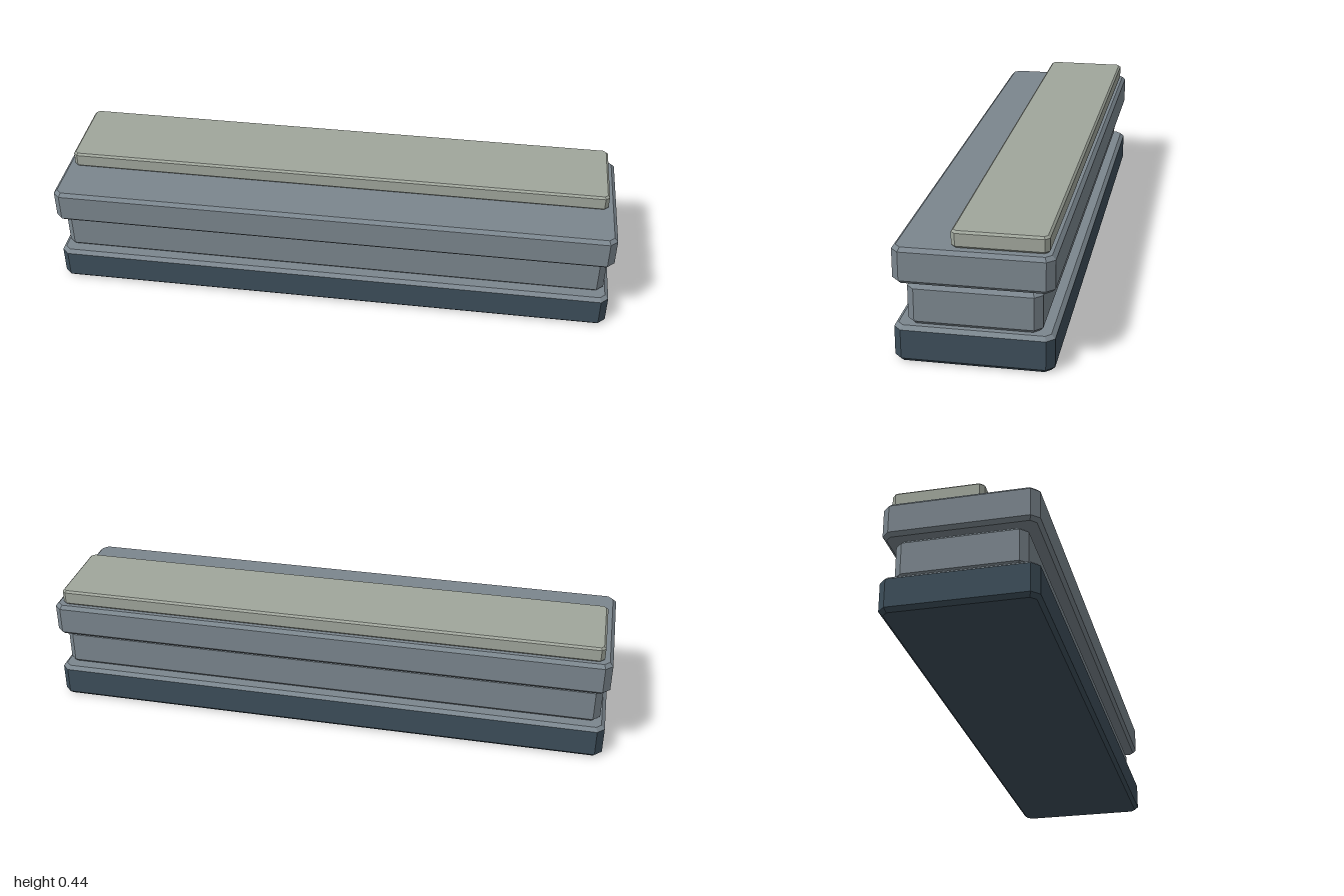
import * as THREE from 'three';

// Chamfered-corner rectangle, mitred inwards by "inset"
function ring(w, d, chamfer, y, inset) {
  const x = w / 2 - inset, z = d / 2 - inset;
  const c = chamfer - inset * (2 - Math.SQRT2);
  return [[x, z - c], [x, c - z], [x - c, -z], [c - x, -z], [-x, c - z], [-x, z - c], [c - x, z], [x - c, z]]
    .map(([px, pz]) => [px, y, pz]);
}

// Lofts the rings given as [y, inset], with optional flat caps
function loft(w, d, chamfer, levels, capBottom = true, capTop = true) {
  const rings = levels.map(([y, inset]) => ring(w, d, chamfer, y, inset));
  const pos = [];
  const tri = (a, b, c) => pos.push(...a, ...b, ...c);
  for (let k = 0; k < rings.length - 1; k++) {
    const lo = rings[k], hi = rings[k + 1];
    for (let i = 0; i < 8; i++) {
      const j = (i + 1) % 8;
      tri(lo[i], lo[j], hi[j]);
      tri(lo[i], hi[j], hi[i]);
    }
  }
  const first = rings[0], last = rings[rings.length - 1];
  for (let i = 1; i < 7; i++) {
    if (capBottom) tri(first[0], first[i + 1], first[i]);
    if (capTop) tri(last[0], last[i], last[i + 1]);
  }
  const geometry = new THREE.BufferGeometry();
  geometry.setAttribute('position', new THREE.Float32BufferAttribute(pos, 3));
  geometry.computeVertexNormals();
  return geometry;
}

// Full slab with bevelled top and bottom edges
const slab = (w, d, chamfer, y0, y1, bevel) =>
  loft(w, d, chamfer, [[y0, bevel], [y0 + bevel, 0], [y1 - bevel, 0], [y1, bevel]]);

export function createModel() {
  const group = new THREE.Group();
  const paint = (color) => new THREE.MeshStandardMaterial({ color, flatShading: true });
  const dark = paint(0x3d4e5a), grey = paint(0x7b868e), pale = paint(0xa0a69c);

  const add = (name, geometry, material, z = 0) => {
    const mesh = new THREE.Mesh(geometry, material);
    mesh.name = name;
    mesh.position.z = z;
    group.add(mesh);
  };

  // Dark plinth with a lighter bevelled top
  add('base', loft(2, 0.5, 0.025, [[0, 0.013], [0.013, 0], [0.109, 0]], true, false), dark);
  add('baseTop', loft(2, 0.5, 0.025, [[0.109, 0], [0.121, 0.013]], false, true), grey);

  // Recessed middle block and overhanging upper block
  add('middleBlock', slab(1.96, 0.42, 0.024, 0.121, 0.253, 0.012), grey);
  add('upperBlock', slab(2, 0.5, 0.025, 0.262, 0.38, 0.012), grey);

  // Pale cap plate set towards the back
  add('capPlate', slab(1.94, 0.3, 0.014, 0.38, 0.435, 0.007), pale, -0.08);

  return group;
}
